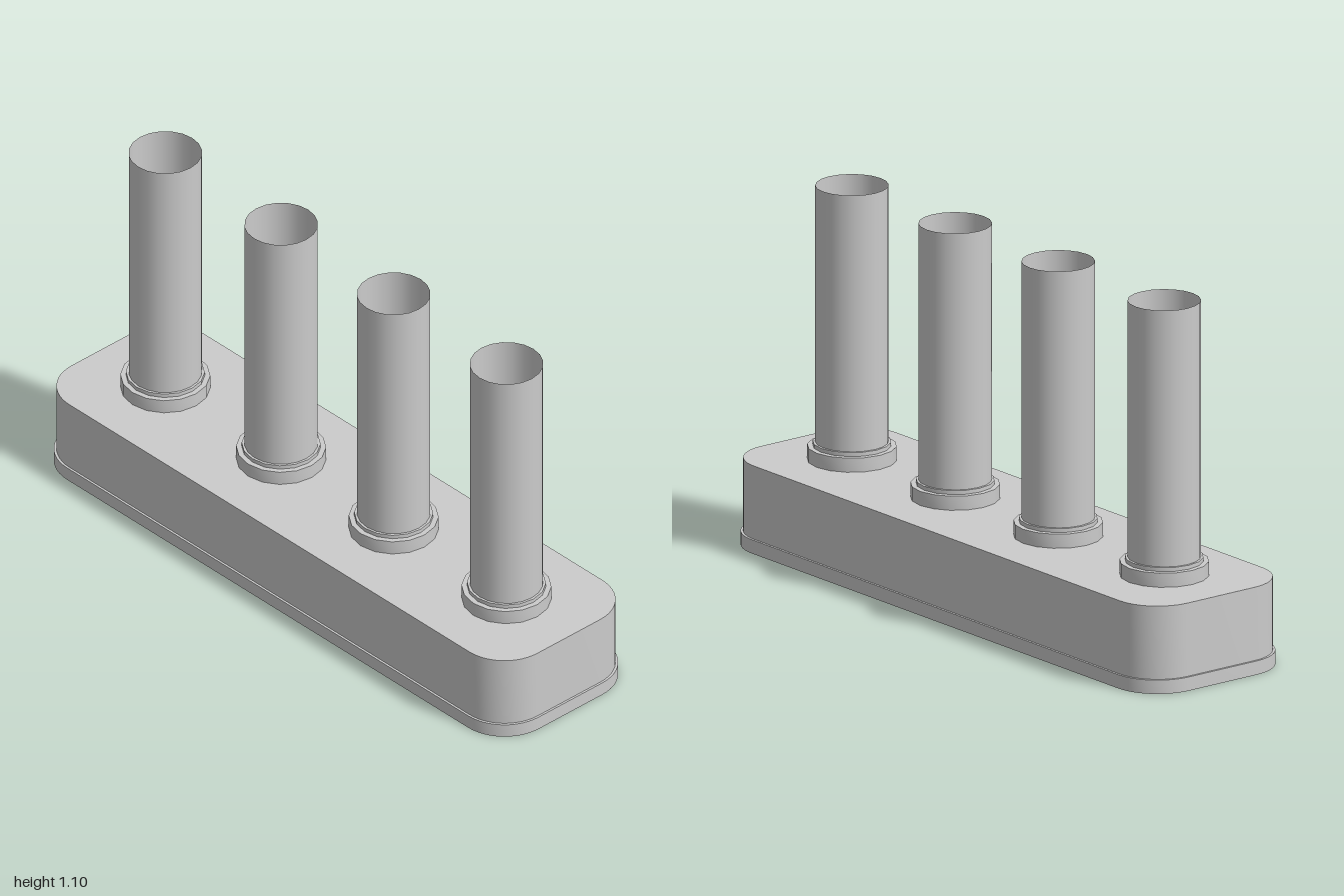
import * as THREE from 'three';
import { toCreasedNormals } from 'three/addons/utils/BufferGeometryUtils.js';

const material = new THREE.MeshStandardMaterial({ color: 0xcccccc });
const thinMaterial = new THREE.MeshStandardMaterial({ color: 0xcccccc, side: THREE.DoubleSide });

// Upright slab with rounded corners, from y0 to y1
function roundedSlab(name, halfX, halfZ, radius, y0, y1) {
  const s = new THREE.Shape();
  const x = halfX - radius, z = halfZ - radius;
  s.absarc(x, z, radius, 0, Math.PI / 2);
  s.absarc(-x, z, radius, Math.PI / 2, Math.PI);
  s.absarc(-x, -z, radius, Math.PI, Math.PI * 1.5);
  s.absarc(x, -z, radius, Math.PI * 1.5, Math.PI * 2);
  const g = new THREE.ExtrudeGeometry(s, { depth: y1 - y0, bevelEnabled: false, curveSegments: 6 });
  g.rotateX(-Math.PI / 2).translate(0, y0, 0);
  const mesh = new THREE.Mesh(toCreasedNormals(g, 0.6), material);
  mesh.name = name;
  return mesh;
}

// Open tube standing in a stepped collar
function createPost(z) {
  const post = new THREE.Group();
  post.name = 'post';
  const profile = [[0.131, 0.262], [0.131, 0.308], [0.115, 0.308], [0.115, 0.32], [0.105, 0.32]]
    .map(([r, y]) => new THREE.Vector2(r, y));
  const collar = new THREE.Mesh(toCreasedNormals(new THREE.LatheGeometry(profile, 16), 0.6), thinMaterial);
  collar.name = 'collar';

  const bottom = 0.265, top = 1.1;
  const tube = new THREE.Mesh(
    new THREE.CylinderGeometry(0.107, 0.107, top - bottom, 20, 1, true), thinMaterial);
  tube.position.y = (top + bottom) / 2;
  tube.name = 'tube';

  post.add(collar, tube);
  post.position.z = z;
  return post;
}

export function createModel() {
  const model = new THREE.Group();
  model.name = 'fourPostBase';
  model.add(
    roundedSlab('plinth', 0.272, 1, 0.145, 0, 0.042),
    roundedSlab('body', 0.265, 0.993, 0.14, 0.042, 0.265));
  for (const z of [0.727, 0.246, -0.234, -0.728]) model.add(createPost(z));
  return model;
}
